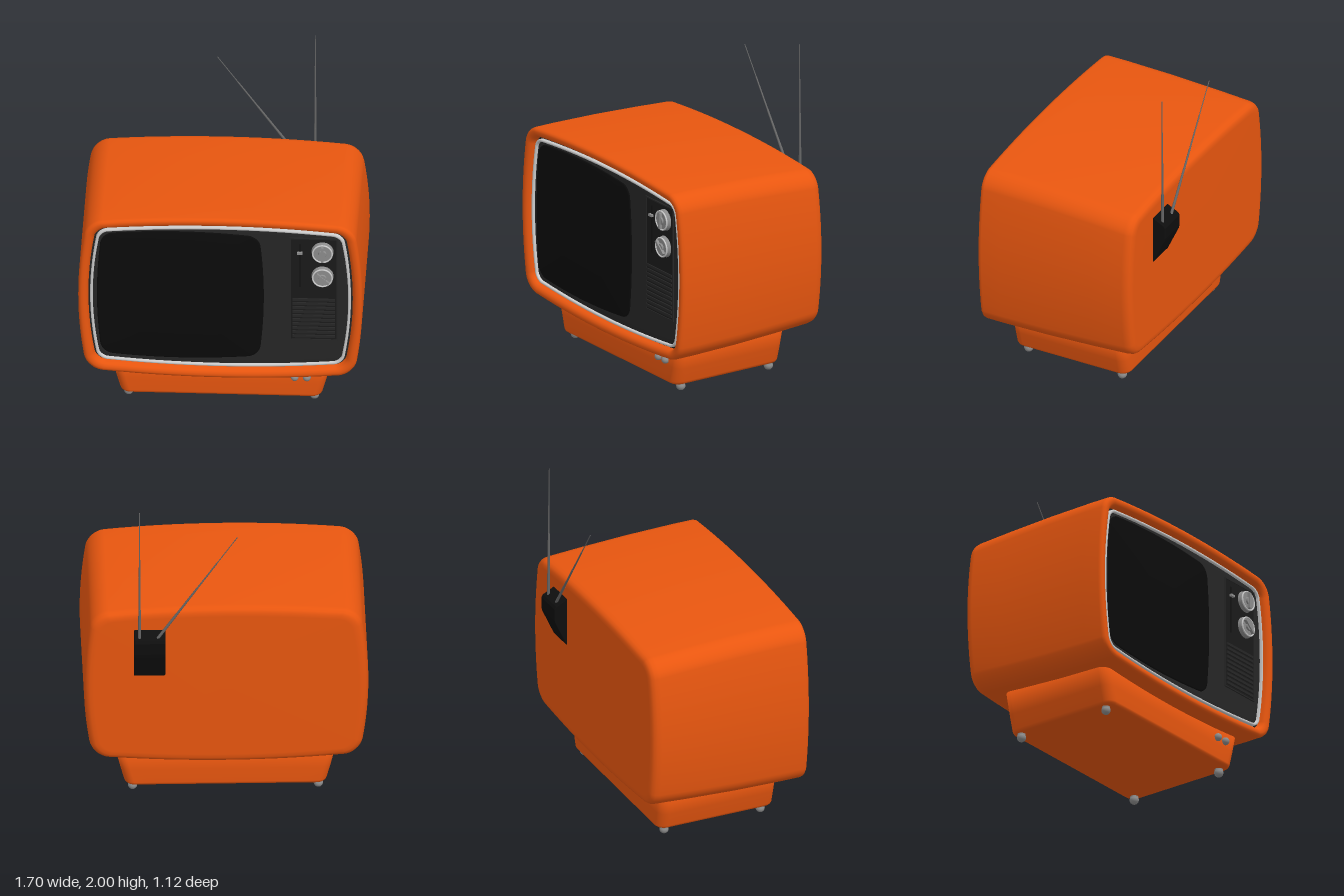
import * as THREE from 'three';

const mat = (color, side = THREE.FrontSide) => new THREE.MeshStandardMaterial({ color, side });
const ORANGE = mat(0xe8560f), PANEL = mat(0x262626), DARK = mat(0x1a1a1a), GLASS = mat(0x0b0b0b);
const BLACK = mat(0x0e0e0e), METAL = mat(0x8c8c8c), CHROME = mat(0xcccccc), ROD = mat(0x666666);

// Rounded rectangle, counter-clockwise, whose sides bow outwards
function outline({ hw, hh, r, bx = 0, by = 0 }) {
  const pts = [], arc = 8, edge = 14;
  for (let c = 0; c < 4; c++) {
    const corner = (k) => [[1, 1], [-1, 1], [-1, -1], [1, -1]][k % 4];
    const at = (k, a) => {
      const [sx, sy] = corner(k);
      return [sx * (hw - r) + r * Math.cos(a), sy * (hh - r) + r * Math.sin(a)];
    };
    const a0 = c * Math.PI / 2, a1 = a0 + Math.PI / 2;
    for (let i = 0; i <= arc; i++) pts.push(at(c, a0 + (a1 - a0) * i / arc));
    const p = at(c, a1), q = at(c + 1, a1);
    for (let i = 1; i < edge; i++) {
      const t = i / edge;
      pts.push([p[0] + (q[0] - p[0]) * t, p[1] + (q[1] - p[1]) * t]);
    }
  }
  return pts.map(([x, y]) => [x * (1 - bx * (y / hh) ** 2), y * (1 - by * (x / hw) ** 2)]);
}

// Skin over rings ordered back to front, optionally capped at each end
function loft(rings, capStart, capEnd) {
  const pos = [], idx = [];
  let n = 0;
  rings.forEach((ring, j) => {
    const pts = outline(ring);
    n = pts.length;
    pts.forEach(([x, y]) => pos.push(x, y, ring.z));
    if (j === 0) return;
    for (let i = 0; i < n; i++) {
      const a = (j - 1) * n + i, b = (j - 1) * n + (i + 1) % n;
      idx.push(a, b, b + n, a, b + n, a + n);
    }
  });
  const cap = (j, flip) => {
    const centre = pos.length / 3;
    pos.push(0, 0, rings[j].z);
    for (let i = 0; i < n; i++) {
      const a = j * n + i, b = j * n + (i + 1) % n;
      idx.push(centre, flip ? b : a, flip ? a : b);
    }
  };
  if (capStart) cap(0, true);
  if (capEnd) cap(rings.length - 1, false);
  const g = new THREE.BufferGeometry();
  g.setAttribute('position', new THREE.Float32BufferAttribute(pos, 3));
  g.setIndex(idx);
  g.computeVertexNormals();
  return g;
}

export function createModel() {
  const root = new THREE.Group();
  const add = (name, geo, material, x = 0, y = 0, z = 0, parent = root) => {
    const m = new THREE.Mesh(geo, material);
    m.name = name;
    m.position.set(x, y, z);
    parent.add(m);
    return m;
  };
  const box = (w, h, d) => new THREE.BoxGeometry(w, h, d);

  // Cabinet: slightly lower at the back, with a rolled front rim
  const ring = (inset, z, hh = 0.56) => ({
    hw: 0.85 - inset, hh: hh - inset, r: 0.1 - inset * 0.6, bx: 0.06, by: 0.075, z
  });
  add('cabinet', loft([
    ring(0.06, -0.48, 0.525), ring(0.035, -0.478, 0.525), ring(0.018, -0.469, 0.525),
    ring(0.006, -0.452, 0.524), ring(0, -0.425, 0.523), ring(0, -0.2, 0.538), ring(0, 0.1, 0.553),
    ring(0, 0.4, 0.56), ring(0, 0.525, 0.56), ring(0.004, 0.54), ring(0.012, 0.548), ring(0.022, 0.551),
    ring(0.036, 0.549), ring(0.048, 0.541), ring(0.056, 0.527), ring(0.06, 0.5)
  ], true, false), ORANGE, 0, 0.8);

  // Front panel and its bright trim
  add('frontPanel', loft([ring(0.055, 0.5), ring(0.07, 0.505), ring(0.09, 0.51), ring(0.12, 0.51)], false, true),
    PANEL, 0, 0.8);
  add('panelTrim', loft([
    ring(0.07, 0.5), ring(0.071, 0.522), ring(0.075, 0.526), ring(0.082, 0.526), ring(0.086, 0.522), ring(0.087, 0.5)
  ], false, false), CHROME, 0, 0.8);

  // Domed picture tube
  const screenRings = [{ hw: 0.5, hh: 0.445, r: 0.07, bx: 0.055, by: 0.06, z: 0.505 }];
  for (const s of [0.995, 0.98, 0.95, 0.85, 0.7, 0.5, 0.3, 0.1]) {
    screenRings.push({ hw: 0.5 * s, hh: 0.445 * s, r: 0.07 * s, bx: 0.055 * s, by: 0.06 * s, z: 0.515 + 0.025 * (1 - s * s) });
  }
  add('screen', loft(screenRings, false, true), GLASS, -0.24, 0.805);

  // Control plate with a raised border
  const controls = new THREE.Group();
  controls.name = 'controls';
  root.add(controls);
  add('controlPlate', box(0.28, 0.71, 0.006), DARK, 0.557, 0.865, 0.51, controls);
  for (const s of [-1, 1]) {
    add('plateBorderSide', box(0.008, 0.71, 0.012), PANEL, 0.557 + s * 0.14, 0.865, 0.512, controls);
    add('plateBorderEnd', box(0.288, 0.008, 0.012), PANEL, 0.557, 0.865 + s * 0.355, 0.512, controls);
  }
  // Tuning knobs with grip bars
  [[1.13, 0], [0.96, 0.85]].forEach(([y, turn]) => {
    const knob = new THREE.Group();
    knob.name = 'tuningKnob';
    knob.position.set(0.61, y, 0.51);
    knob.rotation.z = turn;
    controls.add(knob);
    add('knobDisc', new THREE.CylinderGeometry(0.06, 0.067, 0.03, 40), METAL, 0, 0, 0.015, knob).rotation.x = Math.PI / 2;
    add('knobRim', new THREE.TorusGeometry(0.058, 0.005, 8, 40), CHROME, 0, 0, 0.03, knob);
    add('knobHub', new THREE.CylinderGeometry(0.022, 0.026, 0.012, 24), METAL, 0, 0, 0.034, knob).rotation.x = Math.PI / 2;
    add('knobGrip', box(0.016, 0.1, 0.02), METAL, 0, 0, 0.038, knob);
  });
  // Slider and speaker grille
  add('sliderTrack', box(0.008, 0.3, 0.005), BLACK, 0.475, 1.03, 0.513, controls);
  add('sliderHandle', box(0.032, 0.014, 0.02), METAL, 0.475, 1.12, 0.52, controls);
  for (let i = 0; i < 10; i++) {
    add('grilleSlat', box(0.255, 0.016, 0.012), PANEL, 0.557, 0.535 + i * 0.0285, 0.515, controls);
  }

  // Pedestal, narrowing towards the floor
  const foot = (hw, hh, z, r = 0.06) => ({ hw, hh, r, z });
  add('pedestal', loft([
    foot(0.575, 0.355, 0.05, 0.04), foot(0.59, 0.37, 0.051, 0.05), foot(0.6, 0.379, 0.058),
    foot(0.605, 0.383, 0.07), foot(0.63, 0.384, 0.16), foot(0.672, 0.385, 0.33)
  ], true, true), ORANGE, 0, 0, 0.05).rotation.x = -Math.PI / 2;
  for (const x of [0.44, 0.513]) {
    add('pedestalButton', new THREE.SphereGeometry(0.024, 20, 14), METAL, x, 0.197, 0.443);
  }
  for (const x of [-0.555, 0.555]) {
    for (const z of [0.36, -0.275]) {
      add('foot', new THREE.SphereGeometry(0.028, 20, 14), METAL, x, 0.028, z);
      add('footStem', new THREE.CylinderGeometry(0.024, 0.026, 0.03, 20), METAL, x, 0.045, z);
    }
  }

  // Wedge-shaped aerial housing on the back
  const wedge = new THREE.Shape([[0.47, 0.88], [0.482, 0.88], [0.555, 1.04], [0.56, 1.06], [0.56, 1.13], [0.55, 1.145],
    [0.482, 1.18], [0.47, 1.18]].map(([z, y]) => new THREE.Vector2(z, y)));
  const wedgeGeo = new THREE.ExtrudeGeometry(wedge, {
    depth: 0.176, bevelEnabled: true, bevelThickness: 0.005, bevelSize: 0.003, bevelSegments: 2
  });
  add('aerialHousing', wedgeGeo.rotateY(Math.PI).translate(0, 0, 0).rotateY(-Math.PI / 2)
    .rotateY(Math.PI / 2), BLACK);
  // Turn the extrusion so that its profile faces sideways
  wedgeGeo.rotateY(-Math.PI / 2).translate(0.546, 0, 0);
  wedgeGeo.computeBoundingBox();
  const bb = wedgeGeo.boundingBox;
  wedgeGeo.translate(0.458 - (bb.min.x + bb.max.x) / 2, 0, -0.563 - bb.min.z);

  // Telescopic aerials, thinner with each section
  const aerial = (from, to) => {
    const a = new THREE.Vector3(...from), b = new THREE.Vector3(...to);
    const g = new THREE.Group();
    g.name = 'aerial';
    g.position.copy(a);
    g.quaternion.setFromUnitVectors(new THREE.Vector3(0, 1, 0), b.clone().sub(a).normalize());
    root.add(g);
    const len = a.distanceTo(b) / 4;
    [0.009, 0.007, 0.005, 0.003].forEach((r, i) => {
      add('aerialSection', new THREE.CylinderGeometry(r * 0.85, r, len, 10), ROD, 0, (i + 0.5) * len, 0, g);
    });
    add('aerialJoint', new THREE.SphereGeometry(0.014, 14, 10), ROD, 0, 0, 0, g);
  };
  aerial([0.52, 1.13, -0.53], [0.52, 2.0, -0.525]);
  aerial([0.42, 1.14, -0.53], [-0.065, 1.83, -0.53]);
  return root;
}
